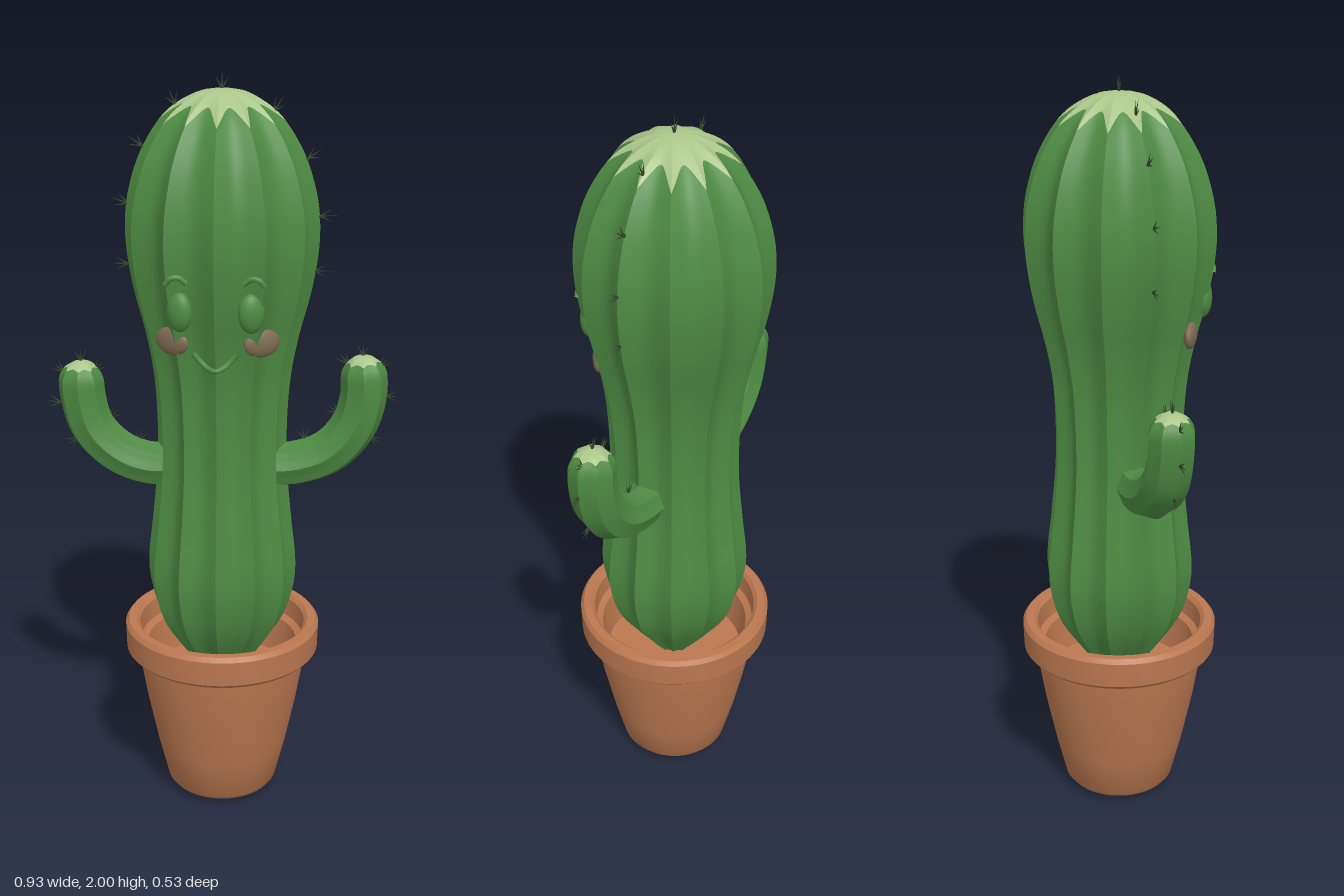
import * as THREE from 'three';
import { toCreasedNormals } from 'three/addons/utils/BufferGeometryUtils.js';

const mat = (name, color, side = THREE.FrontSide) => {
  const m = new THREE.MeshStandardMaterial({ color, side });
  m.name = name;
  return m;
};

// Grid over surface(theta, s), between s = from(theta) and s = to(theta)
function patch(surface, from, to, around, rows) {
  const pos = [], index = [];
  for (let j = 0; j <= rows; j++) {
    for (let i = 0; i <= around; i++) {
      const t = ((i % around) / around) * Math.PI * 2;
      const s = THREE.MathUtils.lerp(from(t), to(t), j / rows);
      pos.push(...surface(t, s).toArray());
    }
  }
  for (let j = 0; j < rows; j++) {
    for (let i = 0; i < around; i++) {
      const a = j * (around + 1) + i, c = a + around + 1;
      index.push(a, a + 1, c + 1, a, c + 1, c);
    }
  }
  const g = new THREE.BufferGeometry();
  g.setAttribute('position', new THREE.Float32BufferAttribute(pos, 3));
  g.setIndex(index);
  return toCreasedNormals(g, 0.6);
}

// Sharp ridges with rounded valleys between them
const rib = (t, count, depth) => 1 - depth * Math.abs(Math.sin((t * count) / 2));

// Trunk outline as radius, height
const profile = new THREE.SplineCurve([
  [0.05, 0.36], [0.11, 0.44], [0.168, 0.53], [0.195, 0.62], [0.2, 0.7], [0.187, 0.82],
  [0.173, 0.97], [0.172, 1.1], [0.18, 1.22], [0.2, 1.33], [0.228, 1.44], [0.245, 1.54],
  [0.248, 1.62], [0.238, 1.7], [0.205, 1.8], [0.145, 1.892], [0.07, 1.942], [0.001, 1.955],
].map(p => new THREE.Vector2(...p)));

const trunkAt = (t, s) => {
  const p = profile.getPointAt(THREE.MathUtils.clamp(s, 0, 1));
  const r = p.x * rib(t, 12, 0.12);
  return new THREE.Vector3(r * Math.sin(t), p.y, r * Math.cos(t));
};

// Point on the front of the trunk at a given x, y
function onTrunk(x, y, lift = 0) {
  let lo = 0, hi = 1;
  for (let k = 0; k < 24; k++) {
    const mid = (lo + hi) / 2;
    if (profile.getPointAt(mid).y < y) lo = mid; else hi = mid;
  }
  const base = profile.getPointAt(lo).x;
  let t = 0, r = base;
  for (let k = 0; k < 6; k++) {
    r = base * rib(t, 12, 0.12);
    t = Math.asin(x / r);
  }
  return new THREE.Vector3(x, y, r * Math.cos(t) + lift);
}

// Upturned arm with a rounded end, swept along a path in the z = 0 plane
function armSurface(points, radius) {
  const curve = new THREE.CatmullRomCurve3(points.map(([x, y]) => new THREE.Vector3(x, y, 0)));
  const cap = radius / curve.getLength();
  return (t, s) => {
    const over = Math.max(0, (s - 1 + cap) / cap);
    const r = Math.max(0.0005, radius * Math.sqrt(Math.max(0, 1 - over * over))) * rib(t, 8, 0.09);
    const c = curve.getPointAt(Math.min(1, s)), d = curve.getTangentAt(Math.min(1, s));
    const u = r * Math.sin(t);
    return new THREE.Vector3(c.x + d.y * u, c.y - d.x * u, r * Math.cos(t));
  };
}

export function createModel() {
  const model = new THREE.Group();
  const green = mat('cactusGreen', 0x4e8b43);
  const pale = mat('paleTip', 0xabc68a);
  const clay = mat('terracotta', 0xbb7850, THREE.DoubleSide);
  const blush = mat('blush', 0x7f6c54);
  const dark = mat('spineDark', 0x36452f);
  const add = (name, geometry, material, parent = model) => {
    const m = new THREE.Mesh(geometry, material);
    m.name = name;
    parent.add(m);
    return m;
  };

  // Pot with thick rim and hollow inside
  const potPoints = [
    [0.001, 0.003], [0.1, 0.008], [0.14, 0.02], [0.152, 0.035], [0.18, 0.15], [0.207, 0.28],
    [0.224, 0.38], [0.229, 0.432], [0.255, 0.432], [0.264, 0.442], [0.266, 0.51], [0.257, 0.522],
    [0.236, 0.522], [0.226, 0.512], [0.222, 0.46], [0.205, 0.45], [0.19, 0.35], [0.001, 0.345],
  ].map(p => new THREE.Vector2(...p));
  add('pot', toCreasedNormals(new THREE.LatheGeometry(potPoints, 64), 0.6), clay);

  // Ribbed trunk and its star-shaped pale crown
  const crown = t => 0.898 + 0.035 * Math.abs(Math.sin(6 * t));
  add('trunk', patch(trunkAt, () => 0, crown, 120, 56), green);
  add('crown', patch(trunkAt, crown, () => 1, 120, 14), pale);

  // Arms with pale tips
  const arms = {
    rightArm: [[-0.1, 0.968], [-0.2, 0.967], [-0.28, 0.998], [-0.345, 1.065], [-0.37, 1.15], [-0.374, 1.247]],
    leftArm: [[0.1, 0.972], [0.2, 0.98], [0.285, 1.015], [0.345, 1.085], [0.37, 1.17], [0.366, 1.28]],
  };
  for (const [name, points] of Object.entries(arms)) {
    const g = new THREE.Group();
    g.name = name;
    model.add(g);
    const surface = armSurface(points, 0.061);
    const edge = t => 0.955 + 0.012 * Math.abs(Math.sin(4 * t));
    add(name + 'Stem', patch(surface, () => 0, edge, 48, 40), green, g);
    add(name + 'Tip', patch(surface, edge, () => 1, 48, 8), pale, g);
  }

  // Face: closed eyes, brows and cheeks on both sides
  const face = new THREE.Group();
  face.name = 'face';
  model.add(face);
  const ball = new THREE.SphereGeometry(1, 24, 16);
  const stroke = (name, pts, r) =>
    add(name, new THREE.TubeGeometry(new THREE.CatmullRomCurve3(pts), 20, r, 8), green, face);
  for (const side of [-1, 1]) {
    const label = side > 0 ? 'left' : 'right';
    const eye = add(label + 'Eye', ball, green, face);
    eye.position.copy(onTrunk(side * 0.089, 1.437, 0.002));
    eye.scale.set(0.034, 0.051, 0.024);
    eye.rotation.y = side * 0.4;

    const cheek = add(label + 'Cheek', ball, blush, face);
    cheek.position.copy(onTrunk(side * 0.113, 1.35, 0.002));
    cheek.scale.set(0.05, 0.036, 0.016);
    cheek.rotation.y = side * 0.55;

    stroke(label + 'Brow', [[0.07, 1.512], [0.09, 1.526], [0.108, 1.524], [0.122, 1.508]]
      .map(([x, y]) => onTrunk(side * x, y, 0.004)), 0.007);
  }

  // Smile
  const smile = [];
  for (let k = -5; k <= 5; k++) {
    const u = k / 5;
    smile.push(onTrunk(u * 0.055 - 0.003, 1.285 + 0.04 * u * u, 0.004));
  }
  stroke('mouth', smile, 0.007);

  // Spine clusters: x, y, outward angle in degrees
  const clusters = [
    [0, 1.953, 90], [-0.115, 1.912, 115], [0.13, 1.9, 60], [-0.2, 1.81, 145], [0.215, 1.785, 35],
    [-0.24, 1.665, 160], [0.247, 1.64, 5], [-0.242, 1.51, 180], [0.236, 1.5, 0],
    [-0.374, 1.245, 90], [-0.335, 1.22, 50], [-0.42, 1.215, 140], [-0.43, 1.13, 175],
    [-0.388, 1.03, 215], [-0.3, 1.09, 45], [-0.22, 1.025, 80],
    [0.366, 1.278, 90], [0.327, 1.255, 125], [0.41, 1.25, 45], [0.43, 1.17, 0],
    [0.392, 1.055, -30], [0.305, 1.12, 140], [0.22, 1.045, 105],
  ];
  const spine = new THREE.ConeGeometry(0.0035, 0.055, 5);
  spine.translate(0, 0.0205, 0);
  const spines = new THREE.Group();
  spines.name = 'spines';
  model.add(spines);
  for (const [x, y, angle] of clusters) {
    for (const fan of [-28, 0, 28]) {
      const m = add('spine', spine, dark, spines);
      m.position.set(x, y, 0);
      m.rotation.z = THREE.MathUtils.degToRad(angle - 90 + fan);
      m.scale.y = y > 1.3 && fan === 0 ? 0.95 : 0.75;
    }
  }
  return model;
}
